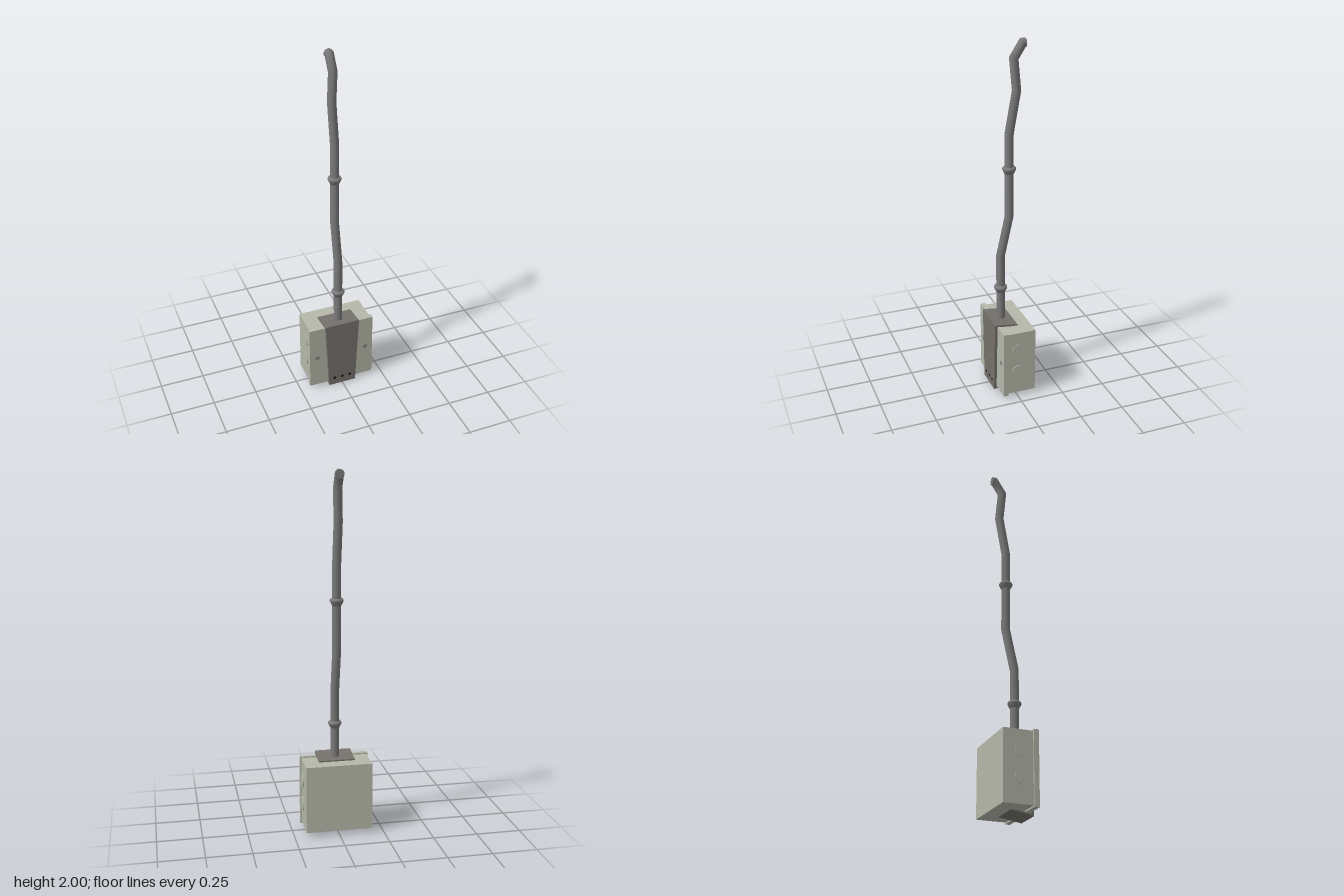
import * as THREE from 'three';

const mat = (color) => new THREE.MeshStandardMaterial({ color });
const boxMat = mat(0xb4b7a9), coverMat = mat(0x75716c), pipeMat = mat(0x7a7a7a);
const screwMat = mat(0x7e8078), darkMat = mat(0x151515);

function createPart(parent, name, geometry, material, x = 0, y = 0, z = 0) {
  const mesh = new THREE.Mesh(geometry, material);
  mesh.name = name;
  mesh.position.set(x, y, z);
  parent.add(mesh);
  return mesh;
}

// Round pipe along a [z, y] path with mitred bends and closed ends.
function mitredPipe(path, radius, sides) {
  const pts = path.map(([z, y]) => new THREE.Vector2(z, y));
  const dirs = pts.slice(1).map((p, i) => p.clone().sub(pts[i]).normalize());
  const positions = [], indices = [];
  const rings = pts.map((p, i) => {
    const a = dirs[Math.max(i - 1, 0)], b = dirs[Math.min(i, dirs.length - 1)];
    const t = a.clone().add(b).normalize();
    const stretch = radius / t.dot(a);
    return Array.from({ length: sides + 1 }, (_, k) => {
      const ang = (k / sides) * Math.PI * 2, c = Math.cos(ang) * stretch;
      return [Math.sin(ang) * radius, p.y - t.x * c, p.x + t.y * c];
    });
  });
  rings.forEach((ring) => ring.forEach((v) => positions.push(...v)));
  const row = sides + 1;
  for (let i = 0; i < rings.length - 1; i++) {
    for (let k = 0; k < sides; k++) {
      const a = i * row + k, b = a + row;
      indices.push(a, a + 1, b, a + 1, b + 1, b);
    }
  }
  // End caps use their own vertices so the rims stay sharp.
  [0, rings.length - 1].forEach((r) => {
    const start = positions.length / 3;
    rings[r].forEach((v) => positions.push(...v));
    for (let k = 1; k < sides - 1; k++) {
      if (r === 0) indices.push(start, start + k + 1, start + k);
      else indices.push(start, start + k, start + k + 1);
    }
  });
  const geo = new THREE.BufferGeometry();
  geo.setAttribute('position', new THREE.Float32BufferAttribute(positions, 3));
  geo.setIndex(indices);
  geo.computeVertexNormals();
  return geo;
}

// Bent sheet: side profile extruded across x, narrowing towards the bottom.
function coverGeometry() {
  const shape = new THREE.Shape([
    [0.103, 0.004], [0.103, 0.432], [-0.03, 0.415], [-0.03, 0.405], [0.088, 0.42],
    [0.088, 0.016], [-0.025, 0.034], [-0.025, 0.024],
  ].map(([z, y]) => new THREE.Vector2(-z, y)));
  const geo = new THREE.ExtrudeGeometry(shape, { depth: 2, bevelEnabled: false });
  geo.translate(0, 0, -1);
  geo.rotateY(Math.PI / 2);
  const pos = geo.attributes.position;
  for (let i = 0; i < pos.count; i++) {
    const t = THREE.MathUtils.clamp((pos.getY(i) - 0.02) / 0.39, 0, 1);
    pos.setX(i, pos.getX(i) * THREE.MathUtils.lerp(0.081, 0.101, t));
  }
  geo.computeVertexNormals();
  return geo;
}

export function createModel() {
  const model = new THREE.Group();
  model.name = 'junctionBoxWithConduit';

  // Box and overlapping lid
  createPart(model, 'boxBody', new THREE.BoxGeometry(0.37, 0.38, 0.163), boxMat, 0, 0.218, -0.0235);
  createPart(model, 'boxLid', new THREE.BoxGeometry(0.386, 0.396, 0.028), boxMat, 0, 0.218, 0.071);

  // Round knockouts and lid screws, mirrored
  const knockout = new THREE.CylinderGeometry(0.04, 0.04, 0.004, 24).rotateZ(Math.PI / 2);
  const dome = new THREE.SphereGeometry(1, 16, 6, 0, Math.PI * 2, 0, Math.PI / 2).rotateX(Math.PI / 2);
  for (const side of [-1, 1]) {
    for (const y of [0.165, 0.3]) {
      createPart(model, 'knockout', knockout, boxMat, side * 0.191, y, -0.004);
    }
    createPart(model, 'lidScrew', dome, screwMat, side * 0.148, 0.217, 0.085).scale.set(0.0135, 0.0135, 0.004);
  }

  // Tapered cover bracket with three rivets
  createPart(model, 'coverBracket', coverGeometry(), coverMat);
  for (const x of [-0.047, 0, 0.047]) {
    createPart(model, 'rivet', dome, darkMat, x, 0.05, 0.103).scale.set(0.009, 0.009, 0.002);
  }

  // Conduit pipe
  const path = [
    [0.032, 0.4], [0.032, 0.805], [-0.018, 1.035], [-0.018, 1.505],
    [-0.058, 1.73], [-0.042, 1.9], [-0.09, 1.976], [-0.105, 1.976],
  ];
  createPart(model, 'conduit', mitredPipe(path, 0.024, 24), pipeMat);

  // Flared couplings
  const profile = [[0.02, -0.023], [0.025, -0.022], [0.037, 0.002], [0.037, 0.009], [0.03, 0.018], [0.02, 0.018]]
    .map(([r, y]) => new THREE.Vector2(r, y));
  const coupling = new THREE.LatheGeometry(profile, 24);
  createPart(model, 'coupling', coupling, pipeMat, 0, 0.608, 0.032);
  createPart(model, 'coupling', coupling, pipeMat, 0, 1.304, -0.018);

  return model;
}
